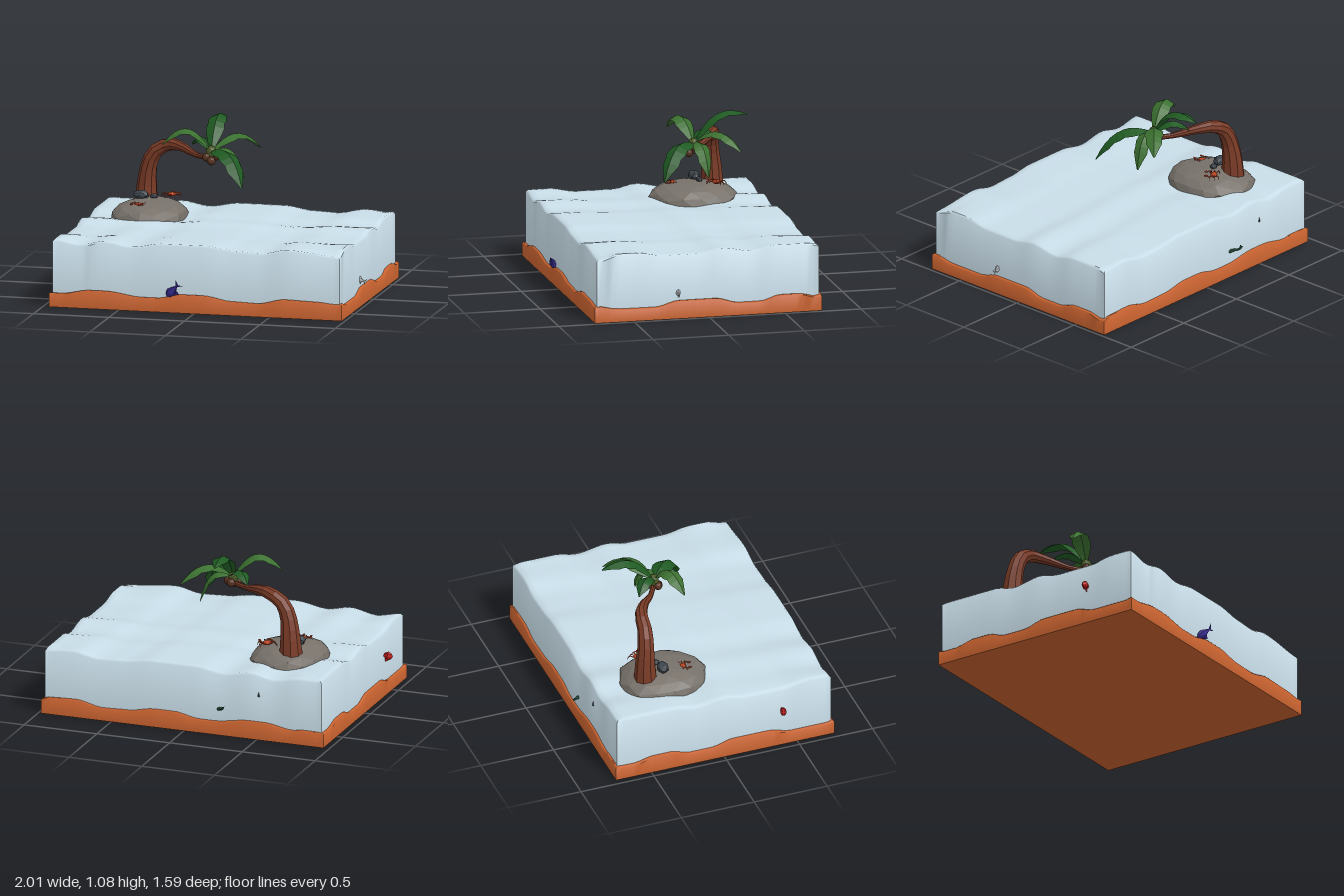
import * as THREE from 'three';
import { toCreasedNormals } from 'three/addons/utils/BufferGeometryUtils.js';

const V = (x, y, z) => new THREE.Vector3(x, y, z);
const mat = (color, flatShading = true, side = THREE.FrontSide) =>
  new THREE.MeshStandardMaterial({ color, flatShading, side });

function add(parent, name, geometry, material, pos) {
  const m = new THREE.Mesh(geometry, material);
  m.name = name;
  if (pos) m.position.set(...pos);
  parent.add(m);
  return m;
}

// Smooth curve through [position, height] pairs
const profile = pts => v => {
  if (v <= pts[0][0]) return pts[0][1];
  for (let i = 1; i < pts.length; i++) {
    if (v <= pts[i][0]) {
      const [a, ha] = pts[i - 1], [b, hb] = pts[i];
      return ha + (hb - ha) * THREE.MathUtils.smoothstep(v, a, b);
    }
  }
  return pts[pts.length - 1][1];
};

// Block with a wavy top whose rim follows fx along x and fz along z
function wavySlab(x0, x1, z0, z1, base, bevel, fx, fz) {
  const w = x1 - x0, d = z1 - z0, cx = (x0 + x1) / 2, cz = (z0 + z1) / 2;
  const g = new THREE.BoxGeometry(w, 1, d, 48, 2, 36);
  const p = g.attributes.position;
  for (let i = 0; i < p.count; i++) {
    const lx = p.getX(i), lz = p.getZ(i), row = p.getY(i);
    const x = lx + cx, z = lz + cz;
    const a = d / 2 - Math.abs(lz) + 1e-4, b = w / 2 - Math.abs(lx) + 1e-4;
    const h = (fx(x - 0.1 * (z1 - z)) * b + fz(z - 0.06 * (x1 - x)) * a) / (a + b);
    const k = row > 0.4 ? bevel : 0;
    p.setXYZ(i, cx + lx * (1 - 2 * k / w), row < -0.4 ? base : row > 0.4 ? h : h - bevel,
      cz + lz * (1 - 2 * k / d));
  }
  return toCreasedNormals(g, 0.9);
}

// Tube whose radius follows a list of values along its length
function taperTube(points, radii, steps, sides) {
  const curve = new THREE.CatmullRomCurve3(points);
  const g = new THREE.TubeGeometry(curve, steps, 1, sides);
  const p = g.attributes.position, v = V();
  for (let i = 0; i < p.count; i++) {
    const t = Math.floor(i / (sides + 1)) / steps, f = t * (radii.length - 1);
    const k = Math.min(Math.floor(f), radii.length - 2);
    const c = curve.getPointAt(t);
    v.fromBufferAttribute(p, i).sub(c)
      .multiplyScalar(THREE.MathUtils.lerp(radii[k], radii[k + 1], f - k)).add(c);
    p.setXYZ(i, v.x, v.y, v.z);
  }
  return g;
}

// Faceted stone from a bumped icosahedron
function rock(rx, ry, rz, detail, bump) {
  const g = new THREE.IcosahedronGeometry(1, detail), p = g.attributes.position;
  for (let i = 0; i < p.count; i++) {
    const x = p.getX(i), y = p.getY(i), z = p.getZ(i);
    const s = 1 + bump * Math.sin(4 * x + 1) * Math.cos(5 * z + 2 * y);
    p.setXYZ(i, x * s * rx, Math.sign(y) * Math.pow(Math.abs(y), 0.85) * s * ry, z * s * rz);
  }
  g.computeVertexNormals();
  return g;
}

// Folded leaf: a ridge with two drooping, notched halves
function frond(from, ctrl, tip, half) {
  const curve = new THREE.QuadraticBezierCurve3(from, ctrl, tip);
  const widths = [0.12, 0.55, 0.85, 1, 0.9, 1, 0.82, 0.85, 0.5, 0.08];
  const pos = [], idx = [], n = widths.length;
  widths.forEach((w, i) => {
    const t = i / (n - 1), c = curve.getPoint(t), tan = curve.getTangent(t);
    const side = V(tan.z, 0, -tan.x).normalize();
    const up = tan.clone().cross(side).normalize();
    if (up.y < 0) up.negate();
    for (const s of [-1, 0, 1]) {
      const q = c.clone().addScaledVector(side, s * w * half)
        .addScaledVector(up, -Math.abs(s) * w * half * 0.45);
      pos.push(q.x, q.y, q.z);
    }
    if (i) for (const k of [0, 1]) {
      const a = (i - 1) * 3 + k, b = a + 3;
      idx.push(a, b, a + 1, a + 1, b, b + 1);
    }
  });
  const g = new THREE.BufferGeometry();
  g.setAttribute('position', new THREE.Float32BufferAttribute(pos, 3));
  g.setIndex(idx);
  g.computeVertexNormals();
  return g;
}

function crab(size, pos, turn) {
  const c = new THREE.Group(), shell = mat(0xb8401c);
  c.name = 'crab';
  add(c, 'crabShell', rock(0.3, 0.14, 0.22, 1, 0), shell, [0, 0.12, 0]);
  for (const s of [-1, 1]) {
    for (let i = 0; i < 3; i++) {
      const z = -0.15 + i * 0.13;
      add(c, 'crabLeg', taperTube([V(s * 0.2, 0.1, z), V(s * 0.42, 0.2, z * 1.8), V(s * 0.55, -0.05, z * 2.3)],
        [0.04, 0.035, 0.01], 4, 4), shell);
    }
    add(c, 'crabArm', taperTube([V(s * 0.2, 0.12, 0.15), V(s * 0.42, 0.15, 0.25), V(s * 0.35, 0.16, 0.4)],
      [0.04, 0.04, 0.04], 4, 4), shell);
    add(c, 'crabClaw', rock(0.09, 0.06, 0.14, 0, 0), shell, [s * 0.3, 0.17, 0.47]);
    add(c, 'crabEye', new THREE.SphereGeometry(0.035, 6, 4), mat(0x222222), [s * 0.1, 0.27, 0.15]);
  }
  c.scale.setScalar(size);
  c.position.set(...pos);
  c.rotation.y = turn;
  return c;
}

// Fish whose body runs from nose to tail tip
function fish(name, nose, tail, radius, color) {
  const f = new THREE.Group(), dir = tail.clone().sub(nose), len = dir.length();
  f.name = name;
  const skin = mat(color, true, THREE.DoubleSide);
  const outline = [[0, 0], [0.7, 0.15], [1, 0.35], [0.65, 0.55], [0.25, 0.75], [0.15, 0.82]]
    .map(([r, y]) => new THREE.Vector2(r * radius, y * len));
  add(f, 'fishBody', new THREE.LatheGeometry(outline, 8), skin).scale.z = 0.7;
  const fin = new THREE.Shape([[0, 0.72], [0.9, 1.02], [0.15, 0.9], [-0.9, 1.02]]
    .map(([x, y]) => new THREE.Vector2(x * radius, y * len)));
  add(f, 'fishTail', new THREE.ShapeGeometry(fin), skin);
  const back = new THREE.Shape([[0.8, 0.25], [1.5, 0.55], [0.5, 0.6]]
    .map(([x, y]) => new THREE.Vector2(x * radius, y * len)));
  add(f, 'fishFin', new THREE.ShapeGeometry(back), skin);
  f.position.copy(nose);
  f.quaternion.setFromUnitVectors(V(0, 1, 0), dir.normalize());
  return f;
}

export function createModel() {
  const model = new THREE.Group();
  model.name = 'islandDiorama';

  // Sea bed and water block
  const bedX = profile([[-0.96, 0.1], [-0.9, 0.09], [-0.7, 0.12], [-0.6, 0.12], [-0.35, 0.09], [-0.25, 0.09],
    [-0.08, 0.12], [0.05, 0.12], [0.25, 0.09], [0.42, 0.085], [0.6, 0.12], [0.8, 0.115], [0.98, 0.1]]);
  const bedZ = profile([[-0.74, 0.09], [-0.6, 0.118], [-0.48, 0.118], [-0.35, 0.082], [-0.2, 0.082],
    [-0.05, 0.118], [0.2, 0.118], [0.35, 0.082], [0.6, 0.082], [0.75, 0.11]]);
  add(model, 'seaBed', wavySlab(-0.96, 0.98, -0.745, 0.755, 0, 0.006, bedX, bedZ), mat(0xc8622f, false));
  const seaX = profile([[-0.94, 0.44], [-0.77, 0.412], [-0.6, 0.442], [-0.42, 0.414], [-0.22, 0.443],
    [0.08, 0.443], [0.28, 0.418], [0.45, 0.411], [0.62, 0.442], [0.96, 0.412]]);
  const seaZ = profile([[-0.73, 0.443], [-0.45, 0.443], [-0.3, 0.413], [-0.1, 0.443], [0.05, 0.415],
    [0.3, 0.415], [0.48, 0.443], [0.6, 0.443], [0.73, 0.41]]);
  add(model, 'water', wavySlab(-0.94, 0.96, -0.73, 0.737, 0.04, 0.012, seaX, seaZ), mat(0xc8dde8, false));

  // Island and stones
  add(model, 'island', rock(0.25, 0.125, 0.295, 2, 0.05), mat(0x77716a), [-0.55, 0.41, -0.275]);
  add(model, 'stone', rock(0.05, 0.032, 0.036, 1, 0.1), mat(0x3c444c), [-0.615, 0.55, -0.295]);
  add(model, 'pebble', rock(0.025, 0.018, 0.02, 1, 0.1), mat(0x3c444c), [-0.535, 0.54, -0.31]);
  model.add(crab(0.105, [-0.44, 0.53, -0.4], 0.7), crab(0.09, [-0.6, 0.505, -0.15], -0.2));

  // Palm: bent trunk, coconuts and fronds
  const palm = new THREE.Group();
  palm.name = 'palmTree';
  model.add(palm);
  const trunk = [V(-0.61, 0.47, -0.41), V(-0.605, 0.6, -0.41), V(-0.59, 0.72, -0.4), V(-0.545, 0.82, -0.39),
    V(-0.45, 0.873, -0.38), V(-0.34, 0.867, -0.32), V(-0.23, 0.838, -0.235), V(-0.12, 0.84, -0.17)];
  add(palm, 'trunk', taperTube(trunk, [0.078, 0.066, 0.055, 0.048, 0.04, 0.028, 0.018, 0.016], 14, 9), mat(0x7a3b26));
  add(palm, 'crown', rock(0.035, 0.045, 0.035, 1, 0), mat(0x4a5a26), [-0.12, 0.875, -0.17]);
  for (const [x, y, z] of [[-0.145, 0.845, -0.15], [-0.09, 0.85, -0.18], [-0.11, 0.825, -0.135], [-0.12, 0.85, -0.21]])
    add(palm, 'coconut', new THREE.IcosahedronGeometry(0.029, 1), mat(0x5a3522), [x, y, z]);
  const dark = 0x1f5a22, light = 0x3b7030;
  const fronds = [
    [V(-0.12, 1.17, -0.3), V(-0.13, 1.05, -0.53), 0.06, dark],
    [V(0.02, 1.09, -0.3), V(0.15, 0.87, -0.42), 0.062, light],
    [V(0.06, 1.0, 0), V(0.15, 0.7, 0.09), 0.07, dark],
    [V(-0.26, 1.16, -0.12), V(-0.42, 0.93, -0.07), 0.062, light],
    [V(-0.2, 1.03, -0.26), V(-0.28, 0.89, -0.33), 0.05, dark],
    [V(0.04, 0.98, -0.2), V(0.09, 0.7, -0.22), 0.055, light],
  ];
  for (const [ctrl, tip, half, color] of fronds)
    add(palm, 'frond', frond(V(-0.12, 0.88, -0.17), ctrl, tip, half), mat(color, true, THREE.DoubleSide));

  // Sea life poking out of the water
  model.add(fish('redFish', V(-1.0, 0.26, 0.4), V(-0.91, 0.265, 0.4), 0.03, 0xc01c1c));
  model.add(fish('purpleFish', V(-0.185, 0.1, 0.735), V(-0.09, 0.2, 0.788), 0.032, 0x3c2f9a));
  model.add(fish('greyFish', V(0.93, 0.175, 0.2), V(1.0, 0.15, 0.2), 0.024, 0xb8bcc0));
  add(model, 'eel', taperTube([V(-0.23, 0.17, -0.72), V(-0.25, 0.18, -0.745), V(-0.275, 0.19, -0.775), V(-0.285, 0.215, -0.785)],
    [0.014, 0.01, 0.007, 0.01], 8, 6), mat(0x2c5a44));
  add(model, 'smallFin', new THREE.ConeGeometry(0.008, 0.03, 4), mat(0x444c50), [-0.51, 0.305, -0.732]);
  return model;
}
